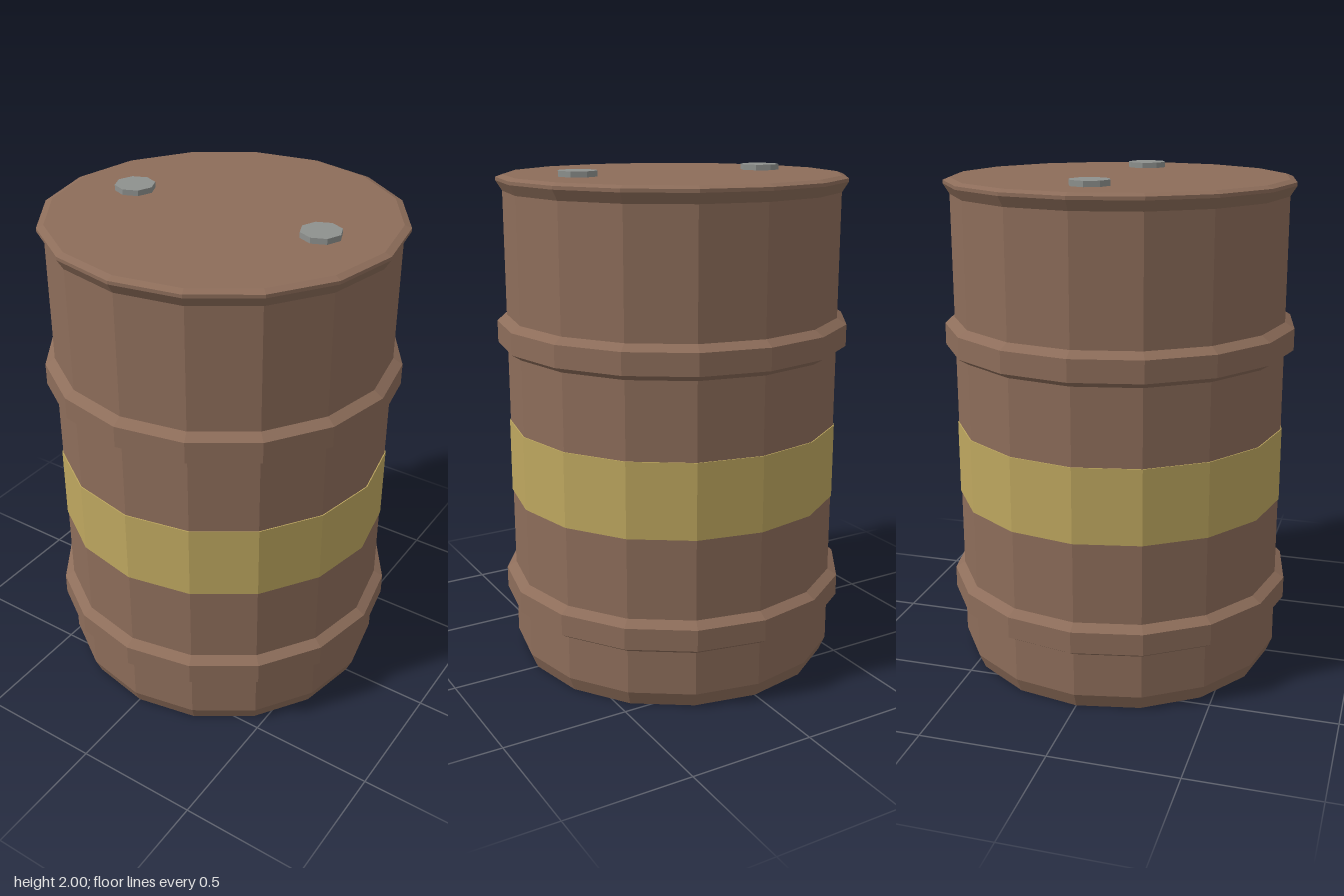
import * as THREE from 'three';

const SIDES = 16;
const BODY_R = 0.667;
const RIB_R = 0.705;

const paint = (name, color) => {
  const m = new THREE.MeshStandardMaterial({ color });
  m.name = name;
  return m;
};

// Separate corners per face, so every facet is shaded flat
function faceted(geometry) {
  const g = geometry.toNonIndexed();
  g.computeVertexNormals();
  return g;
}

function addMesh(parent, name, geometry, material) {
  const mesh = new THREE.Mesh(faceted(geometry), material);
  mesh.name = name;
  parent.add(mesh);
  return mesh;
}

// Turned part from [radius, height] pairs, bottom to top
const turned = (pairs) =>
  new THREE.LatheGeometry(pairs.map(([r, y]) => new THREE.Vector2(r, y)), SIDES);

export function createModel() {
  const drum = new THREE.Group();
  drum.name = 'drum';

  const brown = paint('rustBrown', 0x8d6d5a);
  const yellow = paint('stripeYellow', 0xbea75f);
  const grey = paint('capGrey', 0x8e918e);

  // Shell with tapered foot, flared rim and closed ends
  addMesh(drum, 'shell', turned([
    [0, 0], [0.642, 0], [BODY_R, 0.06], [BODY_R, 1.915],
    [0.692, 1.955], [0.692, 1.968], [0.665, 1.978], [0, 1.978],
  ]), brown);

  // Two bevelled hoops
  for (const [name, y] of [['lowerHoop', 0.303], ['upperHoop', 1.363]]) {
    const hoop = addMesh(drum, name, turned([
      [BODY_R - 0.005, -0.07], [RIB_R, -0.043], [RIB_R, 0.043], [BODY_R - 0.005, 0.07],
    ]), brown);
    hoop.position.y = y;
  }

  // Painted band
  const s = BODY_R + 0.004;
  addMesh(drum, 'stripe', turned([
    [BODY_R - 0.002, 0.692], [s, 0.692], [s, 0.992], [BODY_R - 0.002, 0.992],
  ]), yellow);

  // Octagonal caps on the lid
  for (const [name, side] of [['leftCap', 1], ['rightCap', -1]]) {
    const cap = addMesh(drum, name, new THREE.CylinderGeometry(0.079, 0.079, 0.03, 8), grey);
    cap.position.set(side * 0.413, 1.985, 0);
  }

  return drum;
}
